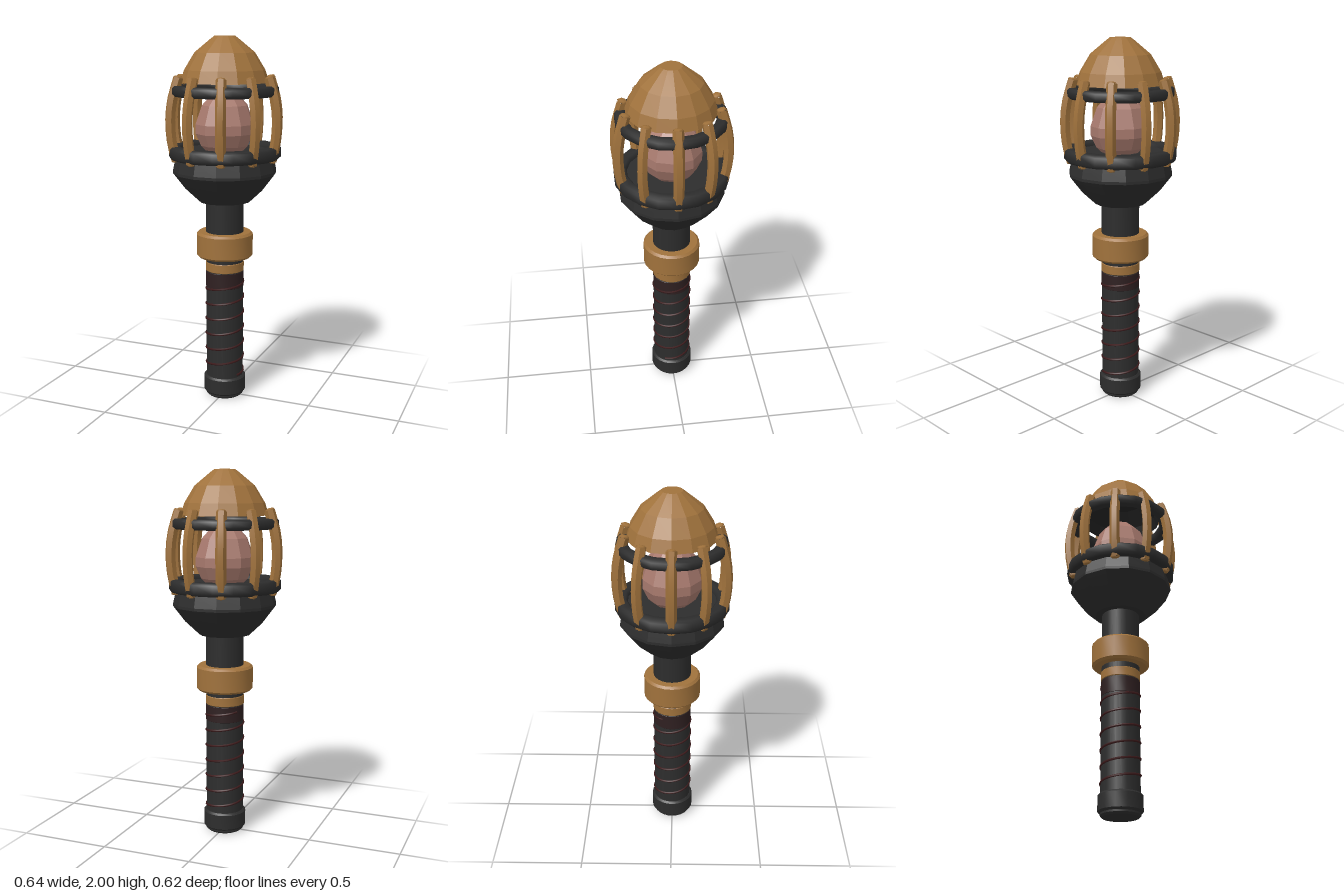
import * as THREE from 'three';
import { toCreasedNormals } from 'three/addons/utils/BufferGeometryUtils.js';

const mat = (name, color, extra = {}) => {
  const m = new THREE.MeshStandardMaterial({ color, ...extra });
  m.name = name;
  return m;
};

export function createModel() {
  const iron = mat('dark iron', 0x2d2d2d);
  const ironInside = mat('dark iron lining', 0x222222, { side: THREE.BackSide });
  const bronze = mat('bronze', 0xa0723c);
  const wrapRed = mat('dark red cord', 0x3c1a1b);
  const bandRed = mat('reddish leather', 0x2f2021);
  const stone = mat('pink crystal', 0xa87a6e);

  const model = new THREE.Group();
  const add = (name, geometry, material, parent = model) => {
    const mesh = new THREE.Mesh(geometry, material);
    mesh.name = name;
    parent.add(mesh);
    return mesh;
  };
  // Revolved profile of [radius, y] points from bottom to top; starts with a vertex on +x
  const turned = (points, sides, crease = 0.6) => {
    const g = new THREE.LatheGeometry(points.map(([r, y]) => new THREE.Vector2(r, y)), sides);
    g.rotateY(Math.PI / 2);
    return toCreasedNormals(g, crease);
  };
  // Solid disc with bevelled rims
  const disc = (r, y0, y1, b, sides = 24) => turned(
    [[0, y0], [r - b, y0], [r, y0 + b], [r, y1 - b], [r - b, y1], [0, y1]], sides);
  // Hollow ring with bevelled rims
  const ring = (inner, outer, y0, y1, b, sides) => turned(
    [[inner, y0 + b], [inner + b, y0], [outer - b, y0], [outer, y0 + b], [outer, y1 - b],
      [outer - b, y1], [inner + b, y1], [inner, y1 - b], [inner, y0 + b]], sides, 0.9);

  // Handle
  add('pommelBase', disc(0.105, 0, 0.03, 0.01), iron);
  add('pommel', disc(0.117, 0.02, 0.12, 0.01), iron);
  add('shaft', disc(0.103, 0.1, 1.14, 0.005), iron);
  add('gripBand', disc(0.1045, 0.64, 0.728, 0.002), bandRed);
  add('gripCollar', disc(0.106, 0.728, 0.785, 0.006), bronze);
  add('guardCollar', disc(0.155, 0.81, 0.95, 0.012), bronze);

  // Cord spiralling up the grip
  const cordPoints = [];
  const pitch = 0.087, turns = 6.5;
  for (let i = 0; i <= turns * 16; i++) {
    const t = (i / 16) * Math.PI * 2 - 0.5;
    cordPoints.push(new THREE.Vector3(
      0.103 * Math.cos(t), 0.14 + (pitch * t) / (Math.PI * 2), -0.103 * Math.sin(t)));
  }
  add('gripCord', new THREE.TubeGeometry(new THREE.CatmullRomCurve3(cordPoints), 210, 0.0065, 6), wrapRed);

  // Cup and cage rings
  add('cup', turned([[0, 1.12], [0.14, 1.12], [0.215, 1.19], [0.28, 1.275], [0.28, 1.29],
    [0.265, 1.36], [0.255, 1.4], [0, 1.4]], 14, 0.2), iron);
  add('lowerRing', ring(0.235, 0.303, 1.355, 1.425, 0.012, 18), iron);
  add('upperRing', ring(0.23, 0.288, 1.69, 1.745, 0.012, 18), iron);

  // Faceted crystal
  add('crystal', turned([[0, 1.35], [0.075, 1.37], [0.13, 1.425], [0.16, 1.49], [0.16, 1.54],
    [0.125, 1.64], [0.07, 1.7], [0, 1.715]], 10, 0.05), stone);

  // Domed cap with dark lining
  const domeProfile = [[0.236, 1.76], [0.215, 1.825], [0.16, 1.915], [0.075, 1.985], [0.055, 2], [0, 2]];
  add('dome', turned(domeProfile, 14, 0.2), bronze);
  add('domeLining', turned(domeProfile.map(([r, y]) => [r * 0.985, y - 0.004]), 14, 0.2), ironInside);

  // Ten bowed cage bars, each a six-sided tube with capped ends
  const path = new THREE.CatmullRomCurve3([[0.266, 1.352], [0.287, 1.44], [0.296, 1.56],
    [0.284, 1.67], [0.25, 1.785]].map(([r, y]) => new THREE.Vector3(r, y, 0)));
  const barGeometry = toCreasedNormals(new THREE.TubeGeometry(path, 8, 0.028, 6), 0.6);
  const capGeometry = new THREE.SphereGeometry(0.028, 6, 2, 0, Math.PI * 2, 0, Math.PI / 2);
  capGeometry.scale(1, 0.4, 1);
  const up = new THREE.Vector3(0, 1, 0);
  for (let i = 0; i < 10; i++) {
    const bar = new THREE.Group();
    bar.name = 'cageBar' + (i + 1);
    add('barBody', barGeometry, bronze, bar);
    for (const end of [0, 1]) {
      const cap = add(end ? 'barTip' : 'barFoot', capGeometry, bronze, bar);
      cap.position.copy(path.getPointAt(end));
      cap.quaternion.setFromUnitVectors(up, path.getTangentAt(end).multiplyScalar(end ? 1 : -1));
    }
    bar.rotation.y = (i * Math.PI) / 5;
    model.add(bar);
  }
  return model;
}
